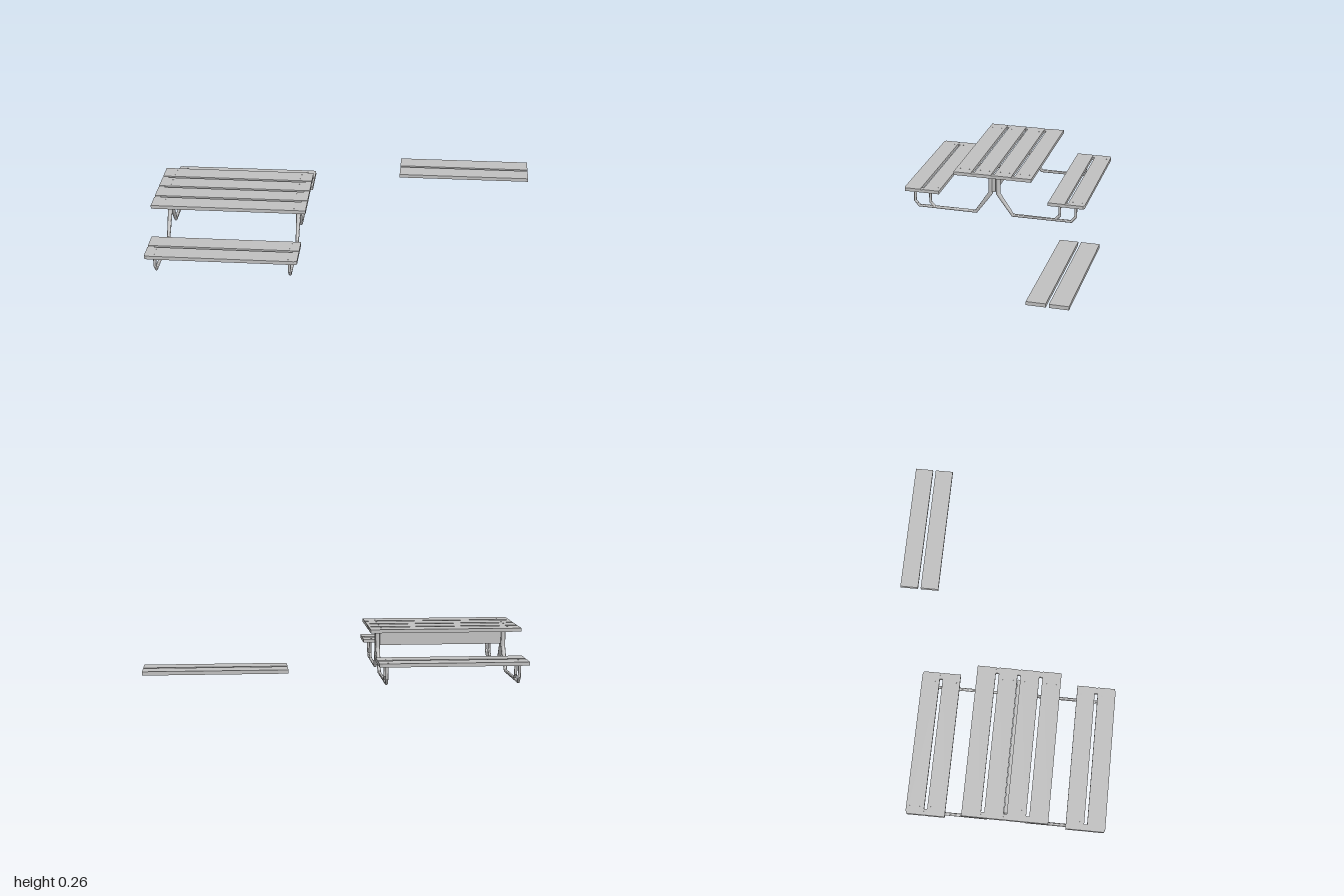
import * as THREE from 'three';
import { toCreasedNormals } from 'three/addons/utils/BufferGeometryUtils.js';

const grey = new THREE.MeshStandardMaterial({ color: 0xc0c0c0 });
grey.name = 'light grey';

const CX = -0.593; // table centre
const CZ = 0.092;

function add(parent, name, geometry, x = 0, y = 0, z = 0) {
  const mesh = new THREE.Mesh(geometry, grey);
  mesh.name = name;
  mesh.position.set(x, y, z);
  parent.add(mesh);
  return mesh;
}

function box(parent, name, w, h, d, x, y, z) {
  return add(parent, name, new THREE.BoxGeometry(w, h, d), x, y, z);
}

// Plank with its two corners on the +z side (or -z if side is -1) cut slightly
function cutPlank(parent, name, w, h, d, x, y, z, side) {
  const a = w / 2, b = d / 2;
  const shape = new THREE.Shape([
    [-a, -b], [a, -b], [a, b - 0.006], [a - 0.016, b], [-a + 0.016, b], [-a, b - 0.006],
  ].map(([u, v]) => new THREE.Vector2(u, v)));
  const geometry = new THREE.ExtrudeGeometry(shape, { depth: h, bevelEnabled: false });
  geometry.translate(0, 0, -h / 2).rotateX(Math.PI / 2);
  const mesh = add(parent, name, geometry, x, y, z);
  if (side < 0) mesh.rotation.y = Math.PI;
}

// Round pipe with mitred bends along [z, y, radius] points
function pipe(path, sides = 12) {
  const pts = path.map(([z, y]) => new THREE.Vector2(z, y));
  const pos = [], index = [];
  pts.forEach((p, i) => {
    const before = pts[Math.max(i - 1, 0)], after = pts[Math.min(i + 1, pts.length - 1)];
    const d1 = (i ? p.clone().sub(before) : after.clone().sub(p)).normalize();
    const d2 = (i < pts.length - 1 ? after.clone().sub(p) : d1.clone()).normalize();
    const t = d1.clone().add(d2).normalize();
    const r = path[i][2], stretch = r / t.dot(d1);
    for (let k = 0; k < sides; k++) {
      const a = ((k + 0.5) / sides) * Math.PI * 2;
      const s = Math.sin(a) * stretch;
      pos.push(Math.cos(a) * r, p.y + t.x * s, p.x - t.y * s);
      if (i) {
        const n = (k + 1) % sides, lo = (i - 1) * sides, hi = i * sides;
        index.push(lo + k, lo + n, hi + k, lo + n, hi + n, hi + k);
      }
    }
  });
  // End caps
  const last = (pts.length - 1) * sides;
  for (let k = 1; k < sides - 1; k++) {
    index.push(0, k + 1, k, last, last + k, last + k + 1);
  }
  const geometry = new THREE.BufferGeometry();
  geometry.setAttribute('position', new THREE.Float32BufferAttribute(pos, 3));
  geometry.setIndex(index);
  return toCreasedNormals(geometry, 0.6);
}

// Pairs of bolt heads at both ends of a plank
function bolts(parent, halfLength, y, z, spread) {
  for (const sx of [-1, 1]) for (const sz of [-1, 1]) {
    add(parent, 'bolt', new THREE.CylinderGeometry(0.004, 0.004, 0.002, 8),
      CX + sx * halfLength, y, z + sz * spread);
  }
}

export function createModel() {
  const model = new THREE.Group();
  model.name = 'picnicTable';

  // Table top: four planks joined by slightly lower end strips
  const top = new THREE.Group();
  top.name = 'tableTop';
  model.add(top);
  for (let i = 0; i < 4; i++) {
    const z = CZ + (i - 1.5) * 0.1155;
    box(top, 'tablePlank', 0.814, 0.019, 0.099, CX, 0.2505, z);
    bolts(top, 0.345, 0.26, z, 0.026);
  }
  for (const s of [-1, 1]) {
    box(top, 'tableEndStrip', 0.03, 0.016, 0.43, CX + s * 0.391, 0.249, CZ);
  }

  // Benches: two planks each, joined at the ends
  for (const s of [-1, 1]) {
    const bench = new THREE.Group();
    bench.name = s > 0 ? 'frontBench' : 'rearBench';
    model.add(bench);
    const z = CZ + s * 0.418;
    cutPlank(bench, 'outerBenchPlank', 0.784, 0.019, 0.095, CX, 0.1165, z + s * 0.0555, s);
    box(bench, 'innerBenchPlank', 0.784, 0.019, 0.095, CX, 0.1165, z - s * 0.0555);
    for (const e of [-1, 1]) {
      box(bench, 'benchEndStrip', 0.032, 0.016, 0.1, CX + e * 0.375, 0.115, z);
      bolts(bench, 0.345, 0.126, z + e * 0.0555, 0.026);
    }
  }

  // Bent pipe frames under both ends, mirrored front to back
  for (const e of [-1, 1]) {
    const frame = new THREE.Group();
    frame.name = e > 0 ? 'leftFrame' : 'rightFrame';
    frame.position.set(CX + e * 0.348, 0, CZ + 0.002);
    model.add(frame);
    for (const s of [-1, 1]) {
      add(frame, 'legPipe', pipe([
        [s * 0.467, 0.108, 0.008], [s * 0.467, 0.038, 0.008], [s * 0.443, 0.009, 0.008],
        [s * 0.107, 0.009, 0.009], [s * 0.022, 0.131, 0.0125], [s * 0.022, 0.242, 0.0125],
      ]));
      add(frame, 'benchSupport', pipe([
        [s * 0.376, 0.108, 0.008], [s * 0.376, 0.038, 0.008], [s * 0.35, 0.009, 0.008],
      ]));
    }
  }

  // Beam held between the posts
  box(model, 'crossBeam', 0.724, 0.079, 0.018, CX, 0.183, CZ + 0.002);

  // Two separate planks
  for (const z of [-0.45, -0.5625]) {
    box(model, 'loosePlank', 0.724, 0.019, 0.097, 0.638, 0.1245, z);
  }

  return model;
}
